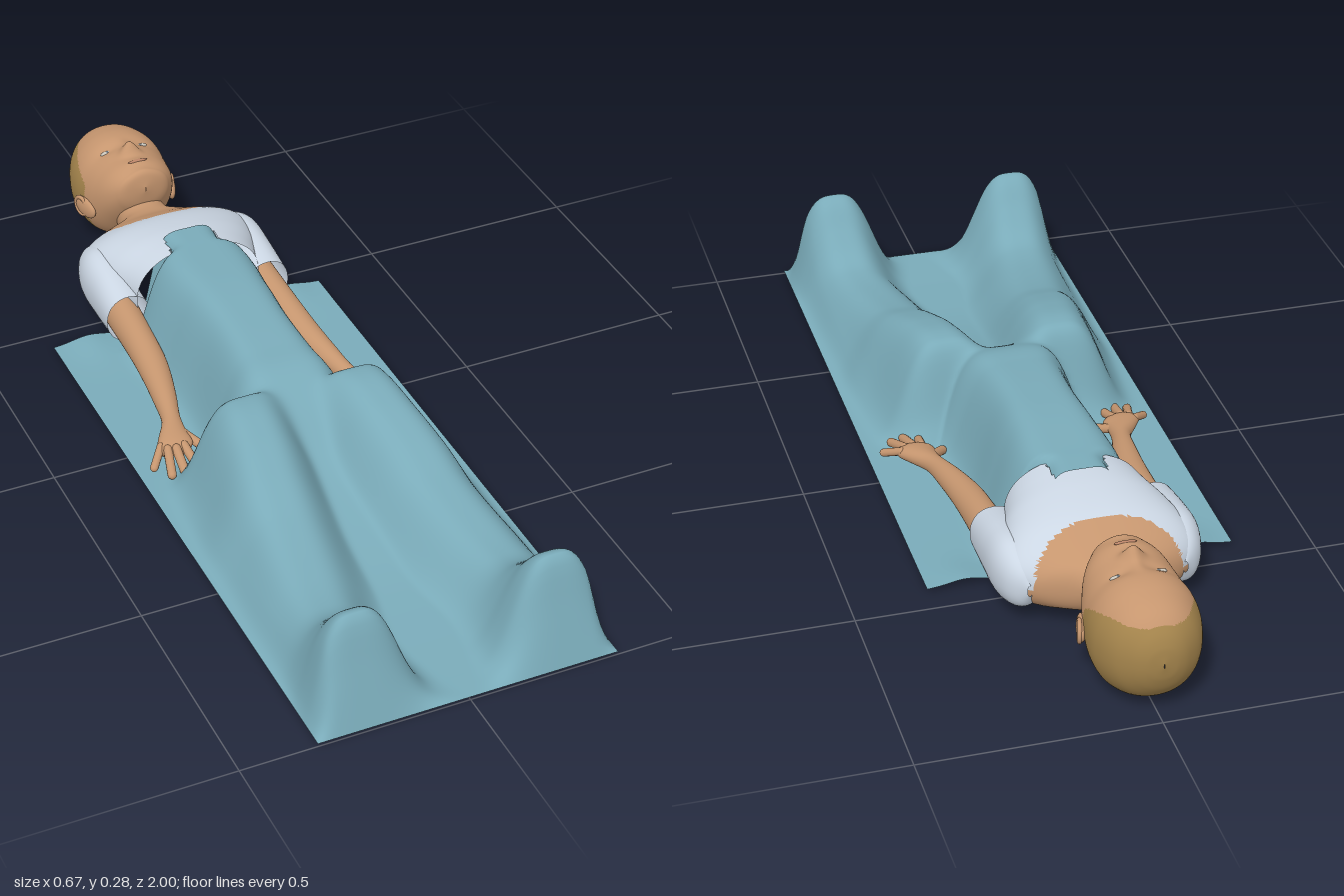
import * as THREE from 'three';

const mat = (name, color, side = THREE.FrontSide) => {
  const m = new THREE.MeshStandardMaterial({ color, side });
  m.name = name;
  return m;
};

// Smooth interpolation through rows [t, a, b, ...] sorted by t
function sample(keys, t) {
  const last = keys.length - 1;
  let i = 0;
  while (i < last - 1 && t > keys[i + 1][0]) i++;
  const k0 = keys[Math.max(0, i - 1)], k1 = keys[i], k2 = keys[i + 1], k3 = keys[Math.min(last, i + 2)];
  const h = k2[0] - k1[0];
  const u = THREE.MathUtils.clamp((t - k1[0]) / h, 0, 1);
  return k1.slice(1).map((p, n) => {
    const q = k2[n + 1];
    const m1 = ((q - k0[n + 1]) / (k2[0] - k0[0])) * h;
    const m2 = ((k3[n + 1] - p) / (k3[0] - k1[0])) * h;
    const u2 = u * u, u3 = u2 * u;
    return (2 * u3 - 3 * u2 + 1) * p + (u3 - 2 * u2 + u) * m1 + (3 * u2 - 2 * u3) * q + (u3 - u2) * m2;
  });
}

// Skin over cross-sections [z, centreX, bottomY, topY, halfWidth]; pick() gives each face material 0 or 1, or -1 for an opening
function loft(keys, { sides = 40, rings = 40, power = 2, mirror = 1, warp = null, pick = null } = {}) {
  const pos = [], slots = [[], []];
  const z0 = keys[0][0], z1 = keys[keys.length - 1][0];
  const bend = v => Math.sign(v) * Math.abs(v) ** (2 / power);
  for (let i = 0; i <= rings; i++) {
    const z = z0 + ((z1 - z0) * (1 - Math.cos((Math.PI * i) / rings))) / 2;
    const [cx, yb, yt, rx] = sample(keys, z);
    for (let j = 0; j < sides; j++) {
      const a = (j / sides) * Math.PI * 2, s = bend(Math.sin(a));
      const x = cx * mirror + Math.max(rx, 0.0005) * bend(Math.cos(a));
      let y = (yb + yt) / 2 + (Math.max(yt - yb, 0.001) / 2) * s;
      if (warp) y += warp(x, z) * Math.max(0, s);
      pos.push(x, y, z);
    }
  }
  const addFace = (...f) => {
    const mid = n => (pos[f[0] * 3 + n] + pos[f[1] * 3 + n] + pos[f[2] * 3 + n]) / 3;
    const slot = pick ? pick(mid(0), mid(1), mid(2)) : 0;
    if (slot >= 0) slots[slot].push(...f);
  };
  for (let i = 0; i < rings; i++) {
    for (let j = 0; j < sides; j++) {
      const a = i * sides + j, b = i * sides + ((j + 1) % sides);
      addFace(a, b, a + sides);
      addFace(b, b + sides, a + sides);
    }
  }
  const g = new THREE.BufferGeometry();
  g.setAttribute('position', new THREE.Float32BufferAttribute(pos, 3));
  g.setIndex([...slots[0], ...slots[1]]);
  if (pick) {
    g.addGroup(0, slots[0].length, 0);
    g.addGroup(slots[0].length, slots[1].length, 1);
  }
  g.computeVertexNormals();
  return g;
}

// Blanket: rows are [z, torso height, torso half-width]
const TORSO = [[-0.44, 0.239, 0.1], [-0.385, 0.24, 0.1], [-0.36, 0.24, 0.143], [-0.2, 0.242, 0.135], [-0.08, 0.236, 0.127],
  [0.04, 0.226, 0.133], [0.12, 0.216, 0.145], [0.2, 0.177, 0.135], [0.3, 0.105, 0.13], [0.4, 0.065, 0.14], [0.6, 0.02, 0.15], [0.8, 0.005, 0.15], [1, 0, 0.15]];
// Rows are [z, leg height, leg centre, leg half-width]
const LEG = [[0.08, 0, 0.13, 0.11], [0.12, 0.07, 0.13, 0.11], [0.16, 0.2, 0.13, 0.114], [0.2, 0.225, 0.13, 0.118], [0.3, 0.211, 0.14, 0.12],
  [0.4, 0.18, 0.155, 0.12], [0.5, 0.142, 0.165, 0.115], [0.65, 0.113, 0.185, 0.11], [0.75, 0.109, 0.2, 0.1], [0.8, 0.126, 0.206, 0.096],
  [0.85, 0.172, 0.211, 0.096], [0.895, 0.223, 0.214, 0.1], [0.93, 0.224, 0.216, 0.104], [0.96, 0.13, 0.218, 0.112], [1, 0, 0.222, 0.13]];

function blanketHeight(x, z, torso, leg) {
  const a = Math.abs(x), gauss = (v, w) => Math.exp(-((v / w) ** 2));
  const body = torso[0] * Math.exp(-((a / torso[1]) ** 5));
  const limb = z < 0.08 ? 0 : leg[0] * Math.exp(-(Math.abs((a - leg[1]) / leg[2]) ** (a > leg[1] ? 3.6 : 3)));
  const edge = THREE.MathUtils.clamp((0.333 - a) / 0.05, 0, 1);
  const curl = 0.012 * gauss(a - 0.25, 0.05) * gauss(z + 0.44, 0.08);
  return 0.008 + curl + (Math.max(0, body) ** 7 + Math.max(0, limb) ** 7) ** (1 / 7) * Math.sin((edge * Math.PI) / 2);
}

function blanketGeometry() {
  const g = new THREE.PlaneGeometry(0.666, 1.44, 100, 180).rotateX(-Math.PI / 2).translate(0, 0, 0.28);
  const p = g.attributes.position;
  for (let i = 0; i < p.count; i++) {
    const x = p.getX(i), z = p.getZ(i);
    p.setY(i, blanketHeight(x, z, sample(TORSO, z), sample(LEG, z)));
  }
  g.computeVertexNormals();
  return g;
}

// Facial relief: [x, z, spreadX, spreadZ, height]
const FACE = [[0, -0.787, 0.018, 0.016, 0.027], [0, -0.815, 0.013, 0.024, 0.006], [0.017, -0.78, 0.01, 0.01, 0.004], [-0.017, -0.78, 0.01, 0.01, 0.004],
  [0.042, -0.825, 0.022, 0.013, -0.005], [-0.042, -0.825, 0.022, 0.013, -0.005], [0, -0.738, 0.026, 0.013, 0.004], [0, -0.705, 0.024, 0.01, 0.003]];
const faceRelief = (x, z) =>
  FACE.reduce((sum, [x0, z0, sx, sz, h]) => sum + h * Math.exp(-(((x - x0) / sx) ** 2) - ((z - z0) / sz) ** 2), 0);

export function createModel() {
  const skin = mat('skin', 0xc6966f);
  const hair = mat('hair', 0xa4844c);
  const shirt = mat('shirt', 0xcbd6e3, THREE.DoubleSide);
  const cloth = mat('blanket', 0x7aabb9, THREE.DoubleSide);
  const lip = mat('lips', 0xba8468);
  const white = mat('eye white', 0xc9c5bb);
  const dark = mat('iris', 0x6f7880);

  const model = new THREE.Group();
  model.name = 'childUnderBlanket';
  const add = (name, geometry, material) => {
    const m = new THREE.Mesh(geometry, material);
    m.name = name;
    model.add(m);
    return m;
  };
  const blob = (name, material, x, y, z, sx, sy, sz) => {
    const m = add(name, new THREE.SphereGeometry(1, 20, 14), material);
    m.position.set(x, y, z);
    m.scale.set(sx, sy, sz);
    return m;
  };

  add('blanket', blanketGeometry(), cloth);

  // Head with short hair on the back and crown
  const headKeys = [[-1, 0, 0.13, 0.14, 0.001], [-0.995, 0, 0.1, 0.172, 0.032], [-0.98, 0, 0.065, 0.203, 0.06], [-0.95, 0, 0.032, 0.232, 0.09],
    [-0.9, 0, 0.006, 0.25, 0.11], [-0.86, 0, 0.001, 0.255, 0.114], [-0.82, 0, 0.008, 0.25, 0.11], [-0.78, 0, 0.034, 0.251, 0.102],
    [-0.74, 0, 0.085, 0.253, 0.088], [-0.71, 0, 0.13, 0.248, 0.068], [-0.695, 0, 0.16, 0.241, 0.048], [-0.687, 0, 0.2, 0.21, 0.001]];
  const isHair = (x, y, z) => (z < -0.972 || (z < -0.812 && y < 0.208 - 2.6 * Math.max(0, z + 0.94) ** 2) ? 1 : 0);
  add('head', loft(headKeys, { sides: 144, rings: 100, power: 2.15, warp: faceRelief, pick: isHair }), [skin, hair]);
  blob('lips', lip, 0, 0.2545, -0.737, 0.024, 0.004, 0.005);

  // Neck, chest and shirt body: scooped neckline, open at the back below the shoulders
  const bodyKeys = [[-0.79, 0, 0.06, 0.17, 0.055], [-0.7, 0, 0.05, 0.165, 0.06], [-0.67, 0, 0.045, 0.165, 0.08], [-0.638, 0, 0.035, 0.172, 0.15],
    [-0.6, 0, 0.02, 0.192, 0.197], [-0.55, 0, 0.014, 0.216, 0.203], [-0.48, 0, 0.013, 0.232, 0.185], [-0.42, 0, 0.014, 0.238, 0.163], [-0.375, 0, 0.015, 0.24, 0.15]];
  const bodySlot = (x, y, z) => {
    if ((z > -0.46 && y < 0.09) || (z > -0.425 && Math.abs(x) < 0.06)) return -1;
    return z > (y > 0.1 ? -0.568 : -0.515) - 0.075 * (Math.abs(x) / 0.165) ** 3 ? 1 : 0;
  };
  add('torso', loft(bodyKeys, { sides: 128, rings: 90, power: 2.2, pick: bodySlot }), [skin, shirt]);

  const sleeveKeys = [[-0.63, 0.165, 0.085, 0.11, 0.005], [-0.615, 0.168, 0.055, 0.135, 0.025], [-0.59, 0.17, 0.038, 0.155, 0.041], [-0.54, 0.173, 0.026, 0.172, 0.051],
    [-0.47, 0.174, 0.025, 0.165, 0.051], [-0.375, 0.172, 0.028, 0.145, 0.052]];
  const armKeys = [[-0.44, 0.172, 0.03, 0.125, 0.04], [-0.3, 0.177, 0.03, 0.112, 0.036], [-0.2, 0.183, 0.03, 0.098, 0.034], [-0.1, 0.198, 0.027, 0.083, 0.027],
    [-0.03, 0.213, 0.026, 0.07, 0.022], [0.02, 0.23, 0.022, 0.063, 0.034], [0.055, 0.238, 0.02, 0.056, 0.041], [0.08, 0.241, 0.032, 0.042, 0.012]];
  // Fingers: [knuckle x, z, tip x, z, radius]
  const fingers = [[0.268, 0.045, 0.3, 0.084, 0.009], [0.258, 0.06, 0.274, 0.122, 0.01], [0.24, 0.065, 0.246, 0.136, 0.0105],
    [0.22, 0.06, 0.213, 0.127, 0.01], [0.207, 0.012, 0.173, 0.06, 0.0105]];

  for (const s of [1, -1]) {
    const side = s > 0 ? 'left' : 'right';
    add(side + 'Sleeve', loft(sleeveKeys, { mirror: s, power: 2.2 }), shirt);
    add(side + 'Arm', loft(armKeys, { mirror: s }), skin);
    fingers.forEach(([x0, z0, x1, z1, r], i) => {
      const a = new THREE.Vector3(s * x0, 0.045, z0), b = new THREE.Vector3(s * x1, 0.024, z1);
      const f = add(side + (i === 4 ? 'Thumb' : 'Finger'), new THREE.CapsuleGeometry(r, a.distanceTo(b), 6, 12), skin);
      f.position.copy(a).lerp(b, 0.5);
      f.quaternion.setFromUnitVectors(new THREE.Vector3(0, 1, 0), b.sub(a).normalize());
    });
    // Ear with a rim, leaning outward toward the crown
    blob(side + 'Ear', skin, s * 0.109, 0.115, -0.803, 0.011, 0.025, 0.038).rotation.y = -s * 0.25;
    const rim = add(side + 'EarRim', new THREE.TorusGeometry(0.022, 0.005, 8, 24), skin);
    rim.position.set(s * 0.116, 0.115, -0.813);
    rim.rotation.y = Math.PI / 2 - s * 0.25;
    // Eye
    blob(side + 'Eye', white, s * 0.042, 0.234, -0.825, 0.017, 0.0065, 0.006);
    blob(side + 'Iris', dark, s * 0.042, 0.2375, -0.825, 0.0045, 0.0036, 0.0045);
  }
  return model;
}
